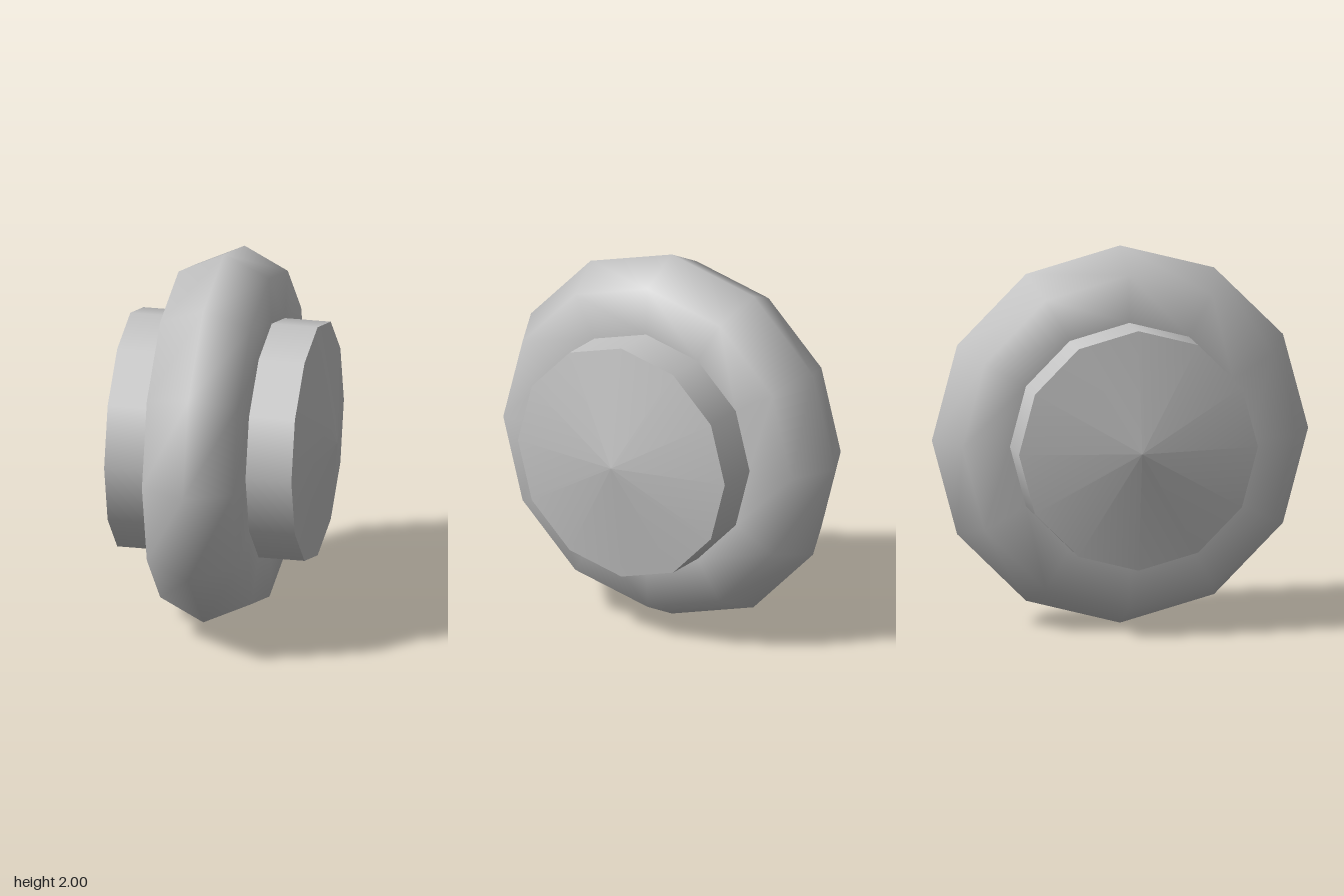
import * as THREE from 'three';

export function createModel() {
  const model = new THREE.Group();
  model.name = 'wheel';
  const grey = new THREE.MeshStandardMaterial({ color: 0xc4c4c4 });
  grey.name = 'plain grey';
  const SIDES = 12;
  const HUB_RADIUS = 0.635;

  // Every part turns about the x axis at y = 1
  function addPart(name, geometry, x = 0, dir = 1) {
    geometry.rotateZ(-dir * Math.PI / 2);
    const mesh = new THREE.Mesh(geometry, grey);
    mesh.name = name;
    mesh.position.set(x, 1, 0);
    model.add(mesh);
  }

  // Smooth-shaded tyre, its inner edge buried in the hub
  const profile = [
    [0.5, -0.26], [HUB_RADIUS, -0.255], [0.885, -0.243], [1, 0],
    [0.885, 0.243], [HUB_RADIUS, 0.255], [0.5, 0.26],
  ].map(([r, y]) => new THREE.Vector2(r, y));
  addPart('tyre', new THREE.LatheGeometry(profile, SIDES));

  // Hub drum running through the tyre
  addPart('hub', new THREE.CylinderGeometry(HUB_RADIUS, HUB_RADIUS, 1, SIDES, 1, true));

  // Shallow conical cap on each end
  for (const [name, dir] of [['leftCap', 1], ['rightCap', -1]]) {
    addPart(name, new THREE.ConeGeometry(HUB_RADIUS, 0.105, SIDES, 1, true), dir * 0.5525, dir);
  }
  return model;
}
